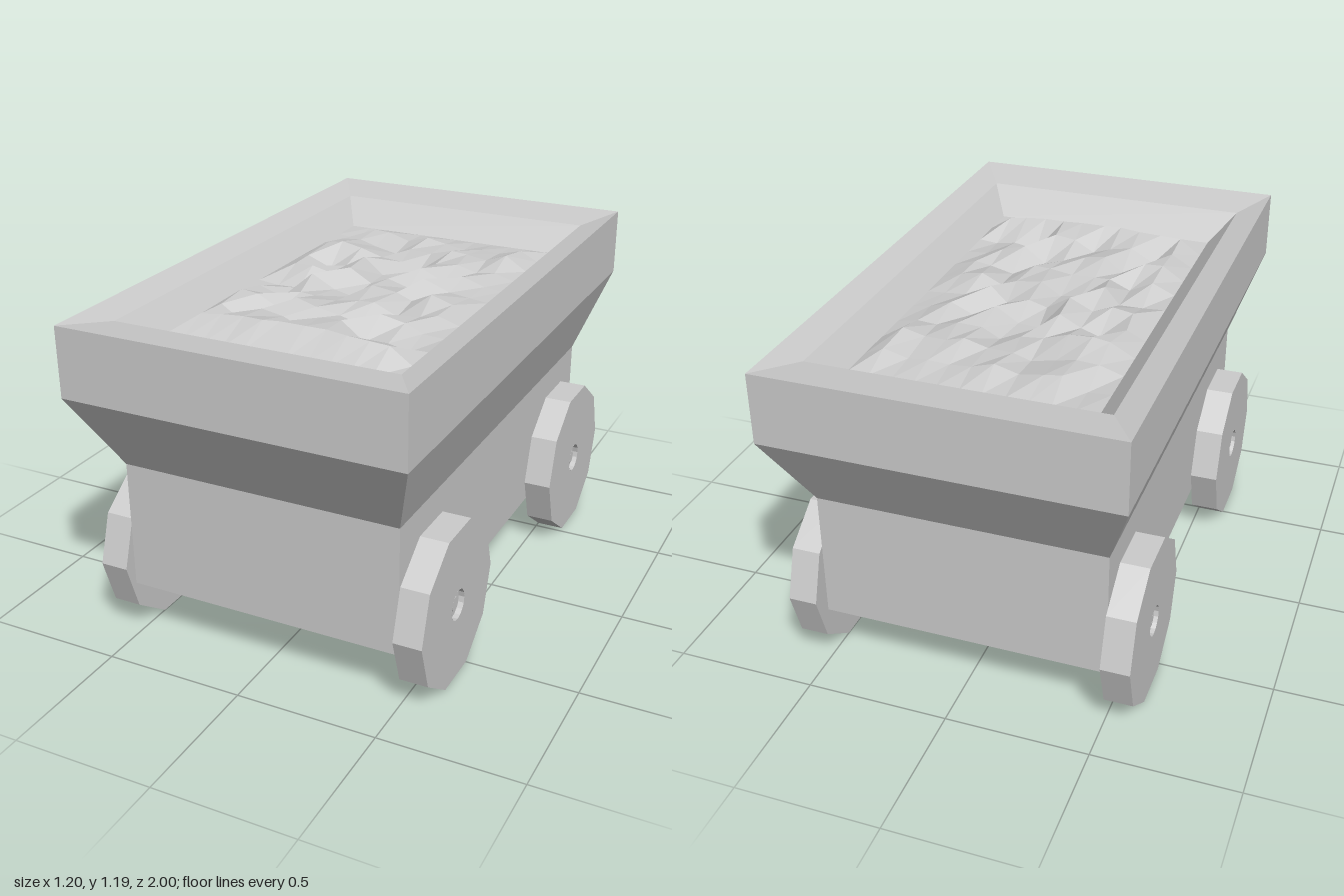
import * as THREE from 'three';

const grey = new THREE.MeshStandardMaterial({ color: 0xcccccc, flatShading: true });
const greyDouble = new THREE.MeshStandardMaterial({ color: 0xcccccc, flatShading: true, side: THREE.DoubleSide });

function addMesh(parent, name, geometry, material = grey) {
  const mesh = new THREE.Mesh(geometry, material);
  mesh.name = name;
  parent.add(mesh);
  return mesh;
}

// Skin over stacked rectangles [half width, half length, y], closed at the first one
function rectangleLoft(rings) {
  const corners = [[1, 1], [1, -1], [-1, -1], [-1, 1]];
  const points = [];
  const at = ([w, l, y], i) => [corners[i % 4][0] * w, y, corners[i % 4][1] * l];
  const quad = (a, b, c, d) => points.push(...a, ...b, ...c, ...a, ...c, ...d);
  const base = rings[0];
  quad(at(base, 3), at(base, 2), at(base, 1), at(base, 0));
  for (let r = 0; r < rings.length - 1; r++) {
    for (let i = 0; i < 4; i++) {
      quad(at(rings[r], i), at(rings[r], i + 1), at(rings[r + 1], i + 1), at(rings[r + 1], i));
    }
  }
  const geometry = new THREE.BufferGeometry();
  geometry.setAttribute('position', new THREE.Float32BufferAttribute(points, 3));
  geometry.computeVertexNormals();
  return geometry;
}

// Small seeded generator, -1 to 1
function seeded(seed) {
  return () => {
    seed = (seed * 16807) % 2147483647;
    return (seed / 2147483647) * 2 - 1;
  };
}

// Lumpy load: a grid with a fixed border and jittered inner points
function loadGeometry() {
  const n = 11;
  const random = seeded(4711);
  const geometry = new THREE.PlaneGeometry(0.84, 1.4, n, n).rotateX(-Math.PI / 2);
  const pos = geometry.attributes.position;
  for (let row = 0; row <= n; row++) {
    for (let col = 0; col <= n; col++) {
      const i = row * (n + 1) + col;
      const edge = row === 0 || row === n || col === 0 || col === n;
      let y = 1.08;
      if (!edge) {
        const x = pos.getX(i);
        // raised ridge along the front, rougher ground behind it
        y = row === n - 1 ? 1.15 - 0.15 * x * x : 1.105 + 0.035 * random();
        pos.setX(i, x + 0.012 * random());
        pos.setZ(i, pos.getZ(i) + 0.008 * random());
      }
      pos.setY(i, y);
    }
  }
  geometry.computeVertexNormals();
  return geometry;
}

// Ten-sided wheel with a dished hub, outer face towards +z
function makeWheel(name) {
  const wheel = new THREE.Group();
  wheel.name = name;
  const radius = 0.292, width = 0.1, hubRadius = 0.054;
  const outline = [];
  for (let i = 0; i < 10; i++) {
    const a = (i / 10) * Math.PI * 2;
    outline.push(new THREE.Vector2(Math.cos(a) * radius, Math.sin(a) * radius));
  }
  const shape = new THREE.Shape(outline);
  shape.holes.push(new THREE.Path().absarc(0, 0, hubRadius, 0, Math.PI * 2, true));
  addMesh(wheel, 'wheelDisc', new THREE.ExtrudeGeometry(shape, { depth: width, bevelEnabled: false, curveSegments: 16 }));
  const profile = [[hubRadius, width], [hubRadius, 0.08], [0.025, 0.08], [0.025, 0.09], [0, 0.09]]
    .map(([r, y]) => new THREE.Vector2(r, y));
  addMesh(wheel, 'hub', new THREE.LatheGeometry(profile, 16).rotateX(Math.PI / 2), greyDouble);
  return wheel;
}

export function createModel() {
  const cart = new THREE.Group();
  cart.name = 'cart';

  // Tub: straight base, flared sides, thick rim and sloping inside
  addMesh(cart, 'tub', rectangleLoft([
    [0.5, 0.83, 0.2], [0.5, 0.83, 0.66], [0.6, 1, 0.945], [0.6, 1, 1.19],
    [0.5, 0.83, 1.165], [0.42, 0.7, 1.08],
  ]));
  addMesh(cart, 'load', loadGeometry(), greyDouble);

  // Wheels
  for (const [end, z] of [['front', 0.587], ['back', -0.615]]) {
    for (const [sideName, side] of [['Left', 1], ['Right', -1]]) {
      const wheel = makeWheel(`${end}${sideName}Wheel`);
      wheel.rotation.y = side * Math.PI / 2;
      wheel.position.set(side * 0.5, 0.278, z);
      cart.add(wheel);
    }
  }
  return cart;
}
